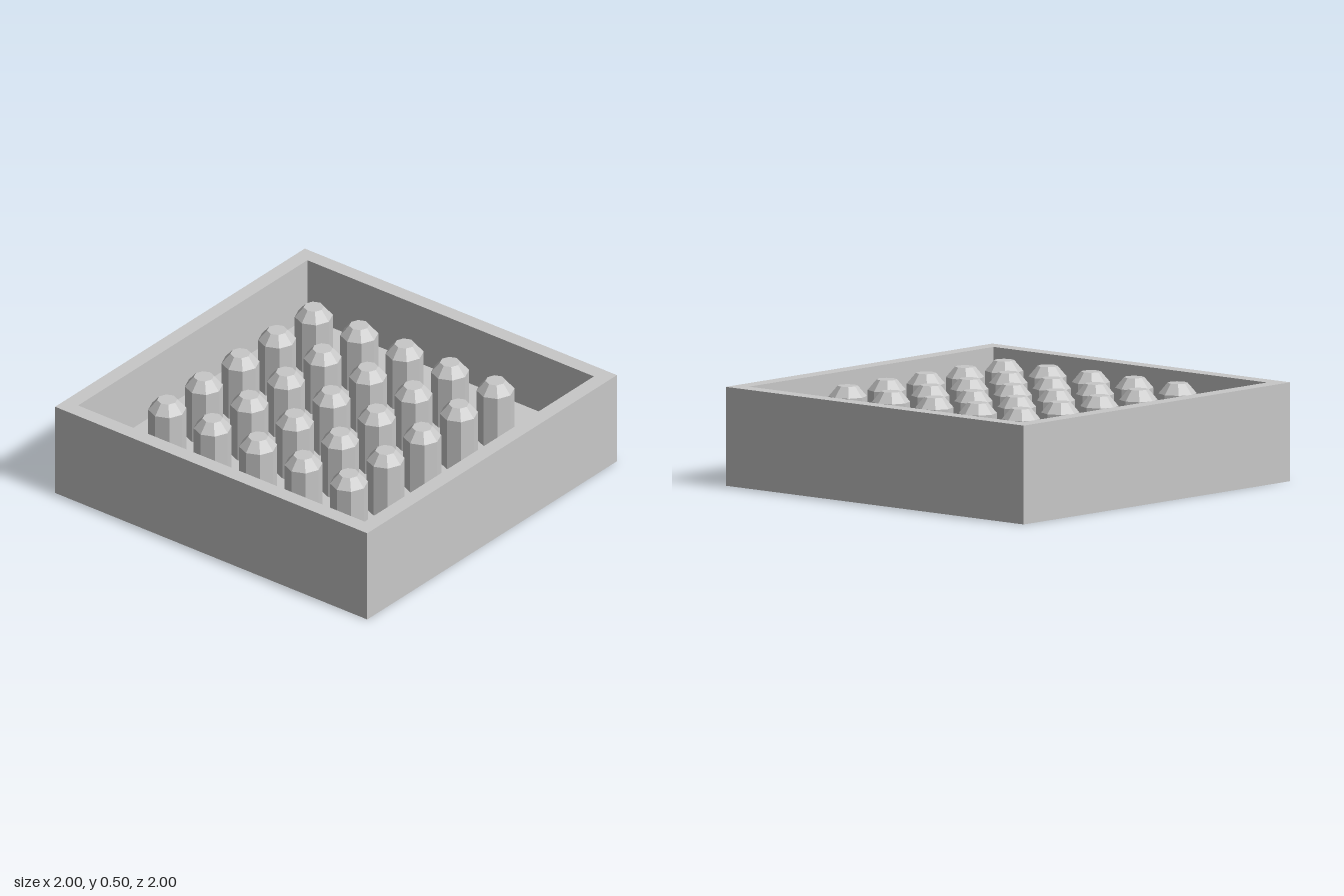
import * as THREE from 'three';

const FLOOR = 0.167, RIM = 0.5, INNER = 0.918;

// Faceted solid of revolution from [radius, height] pairs, listed from the bottom outside upward
function facetedLathe(profile, sides, phase = 0) {
  const points = profile.map(([r, y]) => new THREE.Vector2(r, y));
  const geometry = new THREE.LatheGeometry(points, sides, phase).toNonIndexed();
  geometry.computeVertexNormals();
  return geometry;
}

export function createModel() {
  const model = new THREE.Group();
  model.name = 'peggedTray';
  const grey = new THREE.MeshStandardMaterial({ color: 0xc8c8c8 });
  grey.name = 'light grey';

  // Square open tray: a four-sided lathe, radii measured to the corners
  const k = Math.SQRT2;
  const tray = new THREE.Mesh(facetedLathe([
    [0, 0], [k, 0], [k, RIM], [INNER * k, RIM], [INNER * k, FLOOR], [0, FLOOR],
  ], 4, Math.PI / 4), grey);
  tray.name = 'tray';
  model.add(tray);

  // Five by five grid of octagonal pegs with chamfered tops, set slightly off centre
  const pegs = new THREE.Group();
  pegs.name = 'pegs';
  const pegGeometry = facetedLathe([
    [0.096, FLOOR], [0.096, 0.45], [0.051, 0.503], [0, 0.503],
  ], 8);
  for (let row = 0; row < 5; row++) {
    for (let column = 0; column < 5; column++) {
      const peg = new THREE.Mesh(pegGeometry, grey);
      peg.name = 'peg';
      peg.position.set(-0.603 + column * 0.291, 0, -0.576 + row * 0.2935);
      pegs.add(peg);
    }
  }
  model.add(pegs);
  return model;
}
